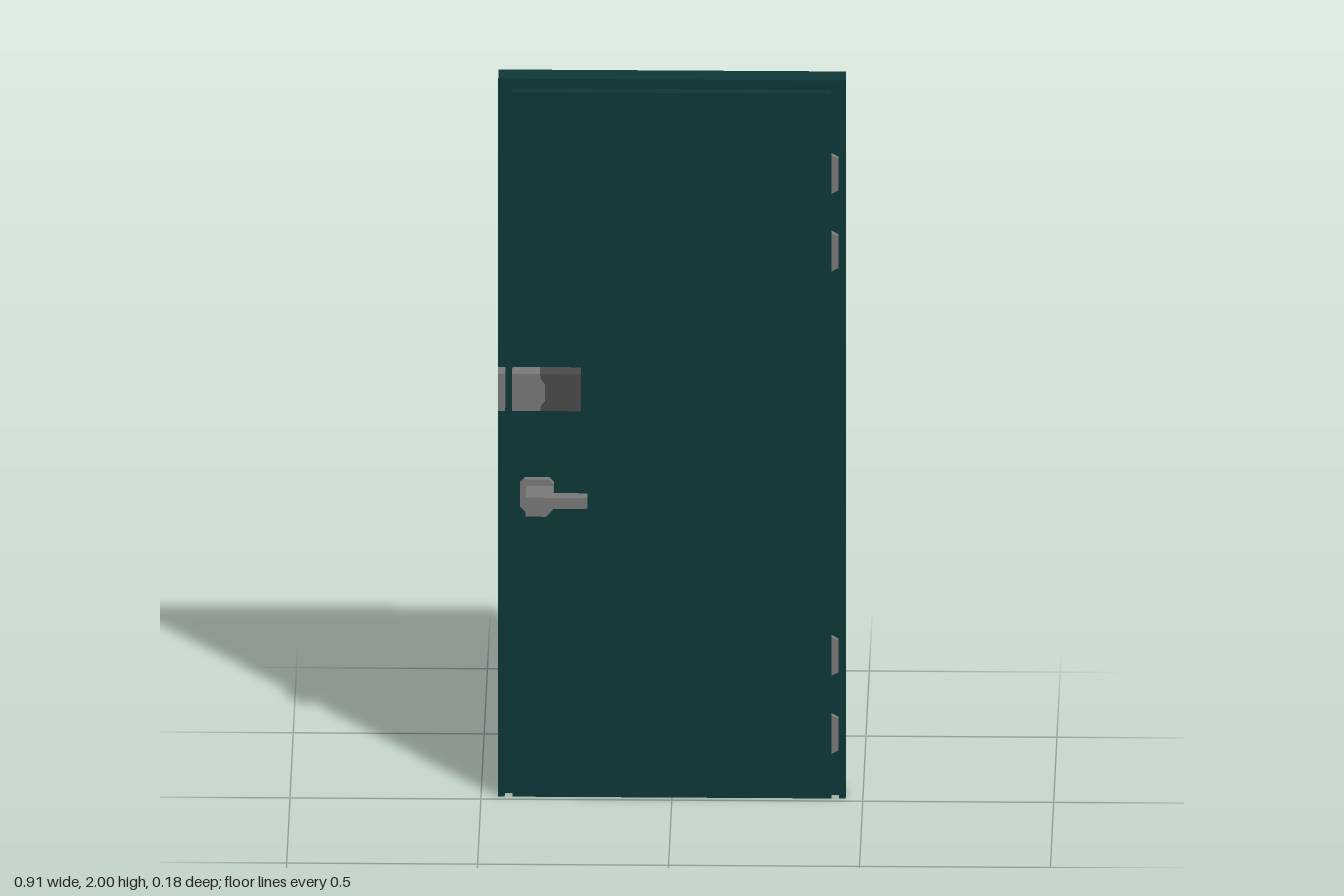
import * as THREE from 'three';

const paint = (name, color) => {
  const m = new THREE.MeshStandardMaterial({ color });
  m.name = name;
  return m;
};

export function createModel() {
  const green = paint('dark green paint', 0x0e3737);
  const steel = paint('grey steel', 0x7a7a7a);
  const dark = paint('dark steel', 0x4a4a4a);
  const model = new THREE.Group();
  model.name = 'door';

  // Flat outline extruded from z0 to z1
  const plate = (name, points, z0, z1, material) => {
    const shape = new THREE.Shape(points.map(([x, y]) => new THREE.Vector2(x, y)));
    const geometry = new THREE.ExtrudeGeometry(shape, { depth: z1 - z0, bevelEnabled: false });
    const mesh = new THREE.Mesh(geometry, material);
    mesh.name = name;
    mesh.position.z = z0;
    model.add(mesh);
  };
  const box = (name, x0, x1, y0, y1, z0, z1, material) =>
    plate(name, [[x0, y0], [x1, y0], [x1, y1], [x0, y1]], z0, z1, material);

  // Slab, raised leaf and surrounding rim with an open groove between them
  const front = -0.02, floor = -0.048, back = -0.09;
  box('slab', -0.455, 0.455, 0, 2, back, floor, green);
  box('leaf', -0.418, 0.418, 0, 1.963, floor, front, green);
  plate('frameRim', [
    [-0.455, 0], [-0.438, 0], [-0.438, 1.983], [0.438, 1.983],
    [0.438, 0], [0.455, 0], [0.455, 2], [-0.455, 2],
  ], floor, front, green);

  // Hinges with sloping outer ends
  for (const y of [0.184, 0.402, 1.528, 1.744]) {
    plate('hinge', [
      [0.418, y - 0.054], [0.436, y - 0.044], [0.436, y + 0.044], [0.418, y + 0.054],
    ], front, -0.002, steel);
  }

  // Surface lock: strike, steel case with a rounded end, dark body
  const low = 1.094, high = 1.197, lockFront = 0.034;
  box('lockStrike', -0.455, -0.436, low, high, front, lockFront, steel);
  const curve = [
    [-0.345, low], [-0.342, low + 0.015], [-0.332, low + 0.028],
    [-0.332, high - 0.028], [-0.342, high - 0.015], [-0.345, high],
  ];
  plate('lockCase', [[-0.418, low], ...curve, [-0.418, high]], front, lockFront, steel);
  plate('lockBody', [[-0.238, high], ...[...curve].reverse(), [-0.238, low]], front, lockFront, dark);

  // Lever handle on an eight-sided rose
  plate('handleRose', [
    [-0.385, 0.802], [-0.322, 0.802], [-0.309, 0.815], [-0.309, 0.878],
    [-0.322, 0.891], [-0.385, 0.891], [-0.398, 0.878], [-0.398, 0.815],
  ], front, 0, steel);
  plate('handleNeck', [
    [-0.381, 0.82], [-0.328, 0.82], [-0.31, 0.84], [-0.31, 0.873], [-0.381, 0.873],
  ], 0, 0.09, steel);
  box('handleLever', -0.31, -0.22, 0.842, 0.873, 0.054, 0.09, steel);

  return model;
}
